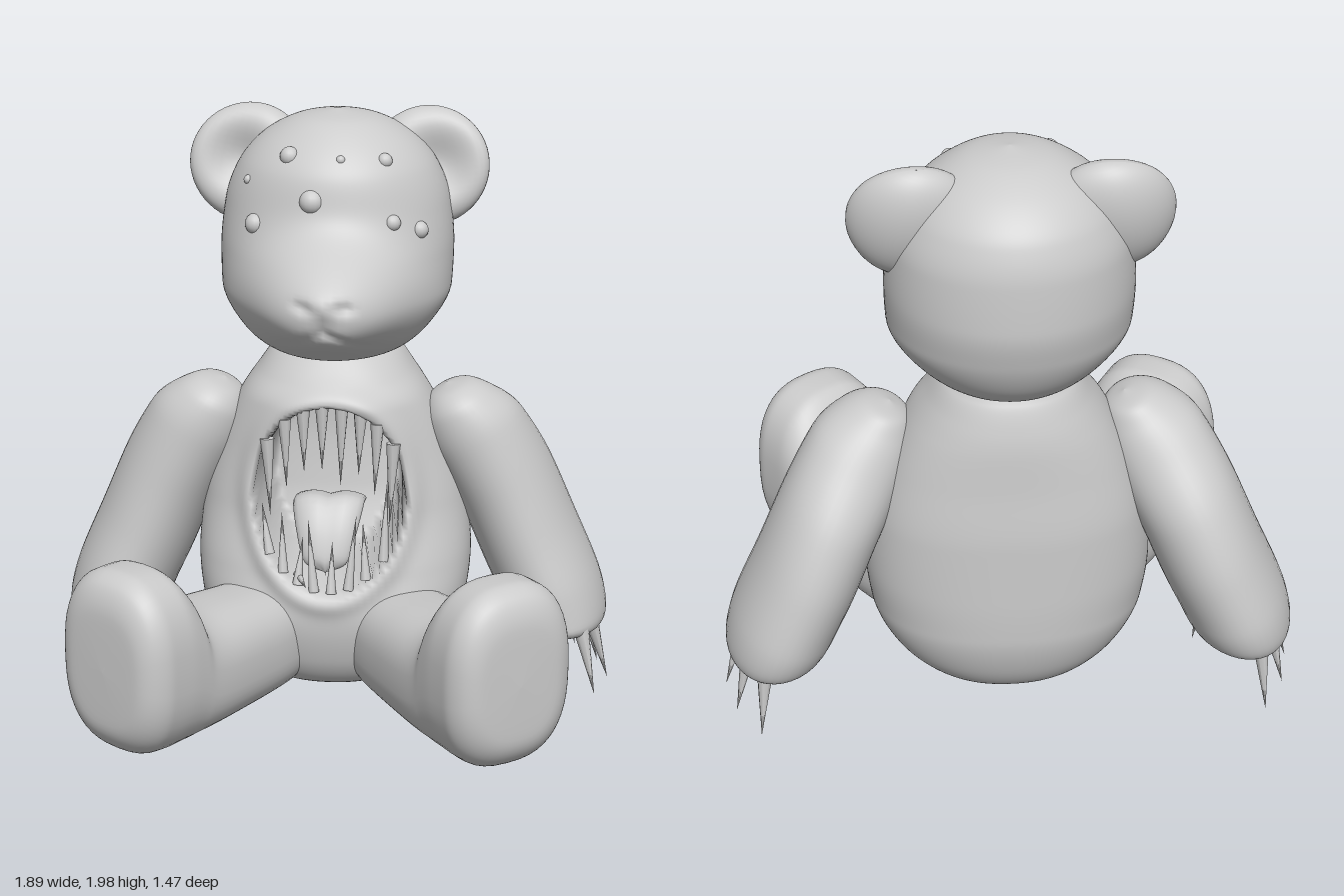
import * as THREE from 'three';

const mat = new THREE.MeshStandardMaterial({ color: 0xcccccc, roughness: 0.8 });
const V = (x, y, z) => new THREE.Vector3(x, y, z);
const gauss = (d, w) => Math.exp(-((d / w) ** 2));
const spow = (v, p) => Math.sign(v) * Math.abs(v) ** p;

function add(parent, name, geometry) {
  const mesh = new THREE.Mesh(geometry, mat);
  mesh.name = name;
  parent.add(mesh);
  return mesh;
}

// Smooth, overshoot-free interpolation of rows of section parameters
function sample(keys, t) {
  const n = keys.length - 1, i = Math.min(Math.floor(t), n - 1), u = t - i;
  return keys[0].map((_, k) => {
    const d = j => keys[j + 1][k] - keys[j][k];
    const slope = j => {
      if (j === 0) return d(0);
      if (j === n) return d(n - 1);
      const a = d(j - 1), b = d(j);
      return a * b > 0 ? 2 * a * b / (a + b) : 0;
    };
    const a = keys[i][k], b = keys[i + 1][k], h = u * u * (3 - 2 * u);
    return a + (b - a) * h + slope(i) * u * (1 - u) ** 2 - slope(i + 1) * u * u * (1 - u);
  });
}

// Closed loft: place(section, cos, sin) gives each point; winding is made outward
function loft(keys, steps, sides, place) {
  const pts = [], idx = [], rows = (keys.length - 1) * steps;
  for (let r = 0; r <= rows; r++) {
    const k = sample(keys, r / steps);
    for (let j = 0; j < sides; j++) {
      const a = j / sides * Math.PI * 2;
      pts.push(place(k, Math.cos(a), Math.sin(a)));
    }
  }
  let volume = 0;
  for (let r = 0; r < rows; r++) for (let j = 0; j < sides; j++) {
    const a = r * sides + j, b = r * sides + (j + 1) % sides, c = a + sides, d = b + sides;
    for (const t of [[a, b, d], [a, d, c]]) {
      idx.push(...t);
      volume += pts[t[0]].dot(pts[t[1]].clone().cross(pts[t[2]]));
    }
  }
  if (volume < 0) idx.reverse();
  const g = new THREE.BufferGeometry().setFromPoints(pts);
  g.setIndex(idx);
  g.computeVertexNormals();
  return g;
}

// Cone from a base point to a tip, used for claws and teeth
function spike(parent, name, base, tip, radius) {
  const dir = tip.clone().sub(base);
  const m = add(parent, name, new THREE.ConeGeometry(radius, dir.length(), 8));
  m.position.copy(base).add(tip).multiplyScalar(0.5);
  m.quaternion.setFromUnitVectors(V(0, 1, 0), dir.normalize());
}

// Section rows: y, half width, back z, front z
const bodyKeys = [
  [.07, 0, -.25, -.25], [.07, .15, -.38, -.1], [.1, .26, -.5, 0], [.2, .38, -.58, .07],
  [.35, .45, -.62, .1], [.5, .465, -.625, .06], [.7, .445, -.625, .0], [.9, .39, -.61, -.02],
  [1.05, .32, -.6, -.015], [1.13, .265, -.585, -.06], [1.2, .21, -.56, -.12],
  [1.23, .16, -.53, -.15], [1.23, 0, -.35, -.35]];
const headKeys = [
  [1.19, 0, -.33, -.33], [1.195, .12, -.48, -.18], [1.22, .22, -.56, -.06], [1.3, .32, -.65, .02],
  [1.42, .385, -.71, .03], [1.55, .39, -.735, .01], [1.7, .375, -.73, -.03], [1.82, .33, -.7, -.06],
  [1.92, .24, -.61, -.14], [1.98, .12, -.48, -.24], [2, 0, -.36, -.36]];

// Muzzle, nose, nostrils and mouth crease as forward displacement of the face
function face(x, y) {
  const ax = Math.abs(x), dy = y - 1.43;
  const muzzle = .18 * Math.exp(-(Math.hypot(x / .26, dy / (dy > 0 ? .18 : .15)) ** 3.3));
  const nose = .018 * gauss(x, .08) * gauss(y - 1.48, .05);
  const nostril = .025 * gauss(ax - .065, .025) * gauss(y - 1.465, .018);
  const smile = .015 * gauss(y - 1.385 + .55 * ax, .016) * gauss(ax, .12);
  const cleft = .012 * gauss(x, .02) * gauss(y - 1.41, .03);
  return muzzle + nose - nostril - smile - cleft;
}

function headZ(x, y) {
  let lo = 0, hi = headKeys.length - 1;
  for (let i = 0; i < 30; i++) {
    const m = (lo + hi) / 2;
    if (sample(headKeys, m)[0] < y) lo = m; else hi = m;
  }
  const [, w, zb, zf] = sample(headKeys, lo);
  return (zb + zf) / 2 + (zf - zb) / 2 * Math.sqrt(Math.max(0, 1 - (x / w) ** 2)) + face(x, y);
}

// Front surface of the belly around the mouth
function rim(a, scale) {
  const x = .25 * scale * Math.cos(a), y = .76 + .31 * scale * Math.sin(a);
  return V(x, y, .08 - .17 * (y - .45) - x * x);
}

function buildHead(root) {
  const head = new THREE.Group();
  head.name = 'head';
  root.add(head);
  add(head, 'skull', loft(headKeys, 10, 96, ([y, w, zb, zf], c, s) => {
    const x = w * c;
    return V(x, y, (zb + zf) / 2 + (zf - zb) / 2 * s + (s > 0 ? face(x, y) * Math.min(1, s * 3) : 0));
  }));
  // Many small eyes scattered over the brow
  for (const [x, y, r] of [[-.25, 1.66, .035], [-.06, 1.75, .042], [-.14, 1.88, .032], [.03, 1.88, .015],
    [.17, 1.87, .025], [.2, 1.68, .028], [.285, 1.645, .03], [-.28, 1.79, .016]]) {
    add(head, 'eye', new THREE.SphereGeometry(r, 16, 12)).position.set(x, y, headZ(x, y) - r * .5);
  }
  // Thick ears, cupped in front with the outer edge curling forward
  for (const side of [1, -1]) {
    const g = new THREE.SphereGeometry(1, 40, 28);
    const p = g.attributes.position;
    for (let i = 0; i < p.count; i++) {
      const x = p.getX(i), y = p.getY(i), z = p.getZ(i);
      const dent = z > 0 ? .09 * gauss(Math.hypot(x - .1 * side, y), .55) : 0;
      const curl = .04 * Math.max(0, x * side) ** 2;
      p.setXYZ(i, x * .2, y * .2, z * .1 - dent + curl);
    }
    g.computeVertexNormals();
    const ear = add(head, side > 0 ? 'leftEar' : 'rightEar', g);
    ear.position.set(.3 * side, 1.795, -.435);
    ear.rotation.set(-.25, .1 * side, .2 * side);
  }
}

function buildBody(root) {
  const torso = new THREE.Group();
  torso.name = 'torso';
  root.add(torso);
  // Body with the mouth cavity pressed into its front
  add(torso, 'body', loft(bodyKeys, 12, 128, ([y, w, zb, zf], c, s) => {
    const x = w * spow(c, .9);
    let z = (zb + zf) / 2 + (zf - zb) / 2 * spow(s, .9);
    if (s > 0) {
      const e = Math.hypot(x / .25, (y - .76) / .31);
      z += .025 * gauss(e - 1.1, .13) - .32 * (1 - THREE.MathUtils.smoothstep(e, .88, 1));
    }
    return V(x, y, z);
  }));
  // Upper fangs
  [-.82, -.54, -.3, -.08, .14, .36, .58, .84].forEach((k, i) => {
    const base = rim(Math.PI / 2 - k * 1.15, 1.03);
    const len = [.27, .24, .22, .23, .28, .22, .25, .29][i];
    spike(torso, 'upperTooth', base, V(base.x * .95, base.y - len, base.z + .01), .024);
  });
  // Lower fangs, uneven and leaning
  [-.85, -.6, -.38, -.16, .06, .28, .52, .8].forEach((k, i) => {
    const base = rim(-Math.PI / 2 + k * 1.05, 1);
    const len = [.17, .2, .16, .24, .17, .25, .19, .28][i];
    spike(torso, 'lowerTooth', base, V(base.x * 1.05 + .02 * (i % 3 - 1), base.y + len, base.z - .04), .018);
  });
  spike(torso, 'lowerTooth', V(-.1, .5, .03), V(-.06, .5, .16), .015);
  // Tongue curling forward from the back of the cavity: y, z, half width, half thickness
  add(torso, 'tongue', loft([[.6, -.36, .09, .05], [.68, -.24, .12, .05], [.7, -.13, .12, .05],
    [.62, -.04, .1, .04], [.53, 0, .07, .03], [.5, .01, 0, 0]], 5, 24,
  ([y, z, w, h], c, s) => V(-.01 + w * c, y + h * s * .8 - .015 * gauss(c, .25) * (s > 0 ? 1 : 0), z + h * s * .7)));
}

// Arm rows: centre x, centre y, half thickness, back z, front z, section tilt
const armKeys = [
  [.375, 1.085, 0, -.29, -.29, .4], [.385, 1.07, .07, -.38, -.2, .4], [.415, 1.015, .13, -.43, -.14, .45],
  [.48, .91, .17, -.5, -.125, .5], [.57, .74, .175, -.6, -.125, .5], [.66, .53, .175, -.65, -.115, .42],
  [.735, .36, .175, -.66, -.1, .25], [.77, .26, .165, -.64, -.1, .1], [.78, .225, .135, -.6, -.14, 0],
  [.78, .21, 0, -.37, -.37, 0]];
// Claws: base x, base z, tip x, tip y, tip z
const claws = [[.81, -.57, .83, .02, -.605], [.86, -.44, .91, .02, -.46], [.88, -.3, .945, .02, -.31],
  [.85, -.17, .9, .03, -.13], [.68, -.2, .64, .04, -.22]];
// Leg rows: distance along leg, half width, bottom y, top y
const legKeys = [
  [-.2, 0, .25, .25], [-.16, .11, .15, .36], [0, .18, .08, .43], [.2, .2, .075, .455], [.4, .215, .075, .48],
  [.49, .22, .075, .52], [.54, .225, .07, .62], [.62, .23, .07, .69], [.71, .23, .08, .695],
  [.775, .205, .12, .665], [.81, .14, .2, .57], [.815, 0, .38, .38]];

function buildLimbs(root, side) {
  const label = side > 0 ? 'left' : 'right';
  const arm = new THREE.Group();
  arm.name = label + 'Arm';
  root.add(arm);
  add(arm, label + 'ArmBody', loft(armKeys, 6, 40, ([x, y, h, zb, zf, t], c, s) =>
    V(side * (x + h * c * Math.cos(t)), y + h * c * Math.sin(t), (zb + zf) / 2 + (zf - zb) / 2 * s)));
  for (const [bx, bz, tx, ty, tz] of claws)
    spike(arm, label + 'Claw', V(side * bx, .25, bz), V(side * tx, ty, tz), .027);
  // Splayed leg with upturned foot
  add(root, label + 'Leg', loft(legKeys, 6, 48, ([d, w, yb, yt], c, s) => {
    const u = w * spow(c, .78);
    return V(side * (.23 + d * .53 + u * .81), (yb + yt) / 2 + (yt - yb) / 2 * spow(s, .78), -.05 + d * .85 - u * .59);
  }));
}

export function createModel() {
  const root = new THREE.Group();
  root.name = 'monsterBear';
  buildHead(root);
  buildBody(root);
  for (const side of [1, -1]) buildLimbs(root, side);
  return root;
}
